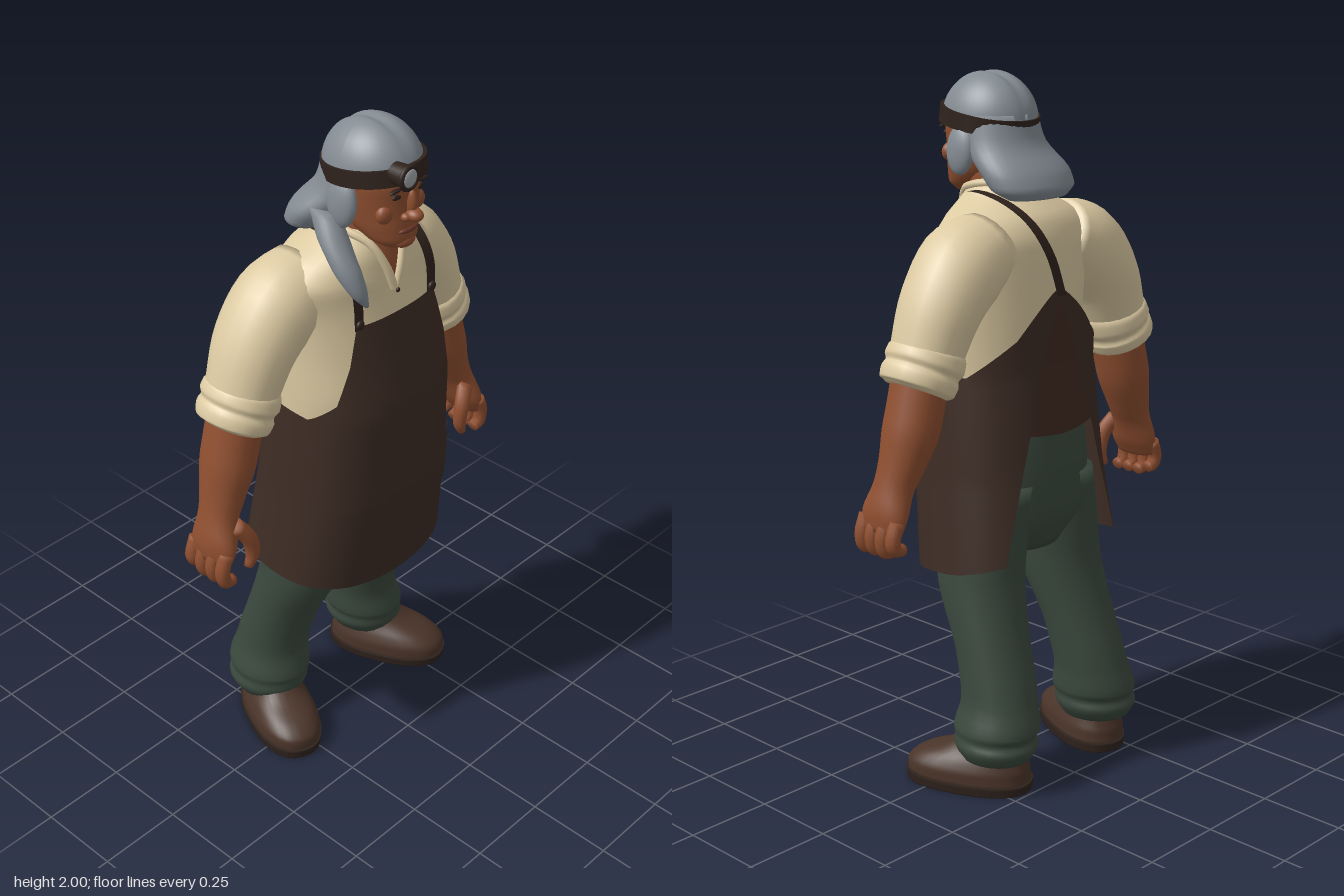
import * as THREE from 'three';

const mat = (name, color, side = THREE.FrontSide) => {
  const m = new THREE.MeshStandardMaterial({ color, side });
  m.name = name;
  return m;
};
const M = {
  skin: mat('skin', 0x8f4f30),
  lips: mat('lips', 0x70382a),
  shirt: mat('cream shirt', 0xdccaa2, THREE.DoubleSide),
  apron: mat('apron brown', 0x3d2c24, THREE.DoubleSide),
  back: mat('back panel brown', 0x402a20, THREE.DoubleSide),
  pants: mat('green trousers', 0x3a483d),
  shoe: mat('shoe brown', 0x4a3429),
  dark: mat('dark leather', 0x2f221c),
  hair: mat('grey hair', 0x838b92),
  lamp: mat('lamp glass', 0xa0a6a8),
};
const V = (x, y, z) => new THREE.Vector3(x, y, z);
const UP = V(0, 1, 0), Z = V(0, 0, 1);
const spow = (v, p) => Math.sign(v) * Math.abs(v) ** p;

function add(parent, name, geo, material) {
  const m = new THREE.Mesh(geo, material);
  m.name = name;
  parent.add(m);
  return m;
}

function grid(rows, cols, wrap, point) {
  const pos = [], idx = [], w = wrap ? cols : cols + 1;
  for (let i = 0; i <= rows; i++)
    for (let j = 0; j < w; j++) pos.push(...point(i, j).toArray());
  for (let i = 0; i < rows; i++)
    for (let j = 0; j < cols; j++) {
      const k = (j + 1) % w, a = i * w + j, b = i * w + k, c = a + w, d = b + w;
      idx.push(a, b, c, b, d, c);
    }
  const g = new THREE.BufferGeometry();
  g.setAttribute('position', new THREE.Float32BufferAttribute(pos, 3));
  g.setIndex(idx);
  g.computeVertexNormals();
  return g;
}

// Smooth closed body through sections [x, y, z, rx, rz]; flat keeps sections level
function loft(sections, { flat = false, p = 1, n = 24, step = 4 } = {}) {
  const path = new THREE.CatmullRomCurve3(sections.map(s => V(s[0], s[1], s[2])), false, 'centripetal');
  const size = new THREE.CatmullRomCurve3(sections.map(s => V(s[3], s[4], s[1] * 0.001)), false, 'centripetal');
  const N = (sections.length - 1) * step;
  const sign = Math.sign(sections.at(-1)[1] - sections[0][1]) || 1;
  return grid(N + 2, n, true, (i, j) => {
    const t = Math.min(Math.max(i - 1, 0), N) / N;
    const c = path.getPoint(t), r = size.getPoint(t), a = j / n * Math.PI * 2;
    if (i === 0 || i === N + 2) return c;
    const T = flat ? UP.clone().multiplyScalar(sign) : path.getTangent(t).setZ(0).normalize();
    const A = Z.clone().cross(T);
    return c.addScaledVector(A, spow(Math.cos(a), p) * r.x).addScaledVector(Z, spow(Math.sin(a), p) * r.y);
  });
}

function ball(parent, name, material, [x, y, z], [a, b, c], rz = 0) {
  const m = add(parent, name, new THREE.SphereGeometry(1, 20, 14), material);
  m.position.set(x, y, z);
  m.scale.set(a, b, c);
  m.rotation.z = rz;
  return m;
}

// Strip following a path, widened along x
function ribbon(points, w) {
  const c = new THREE.CatmullRomCurve3(points.map(q => V(...q)));
  return grid(32, 1, false, (i, j) => c.getPoint(i / 32).add(V((j - 0.5) * w, 0, 0)));
}

function lerpTable(table, v, k = 1) {
  let i = 1;
  while (i < table.length - 1 && v > table[i][0]) i++;
  const a = table[i - 1], b = table[i];
  return THREE.MathUtils.lerp(a[k], b[k], THREE.MathUtils.clamp((v - a[0]) / (b[0] - a[0]), 0, 1));
}

// Apron body: height, half width, front z, back z
const WRAP = [[0.6, 0.305, 0.2, -0.26], [0.9, 0.275, 0.238, -0.215], [1.2, 0.256, 0.25, -0.185], [1.47, 0.262, 0.19, -0.182]];
const TOP = [[0, 1.47], [30, 1.47], [40, 1.36], [55, 1.25], [80, 1.19], [110, 1.2], [150, 1.3], [180, 1.43]];
const HEM = [[0, 0.6], [90, 0.64], [135, 0.68], [155, 1.0], [180, 1.4]];
function wrapPoint(deg, y, out = 0) {
  const a = deg * Math.PI / 180;
  const rx = lerpTable(WRAP, y, 1), f = lerpTable(WRAP, y, 2), b = lerpTable(WRAP, y, 3);
  return V(spow(Math.sin(a), 0.8) * (rx + out), y, (f + b) / 2 + spow(Math.cos(a), 0.8) * ((f - b) / 2 + out));
}
function wrapPatch(d0, d1, top, hem, out) {
  const cols = Math.round((d1 - d0) / 2.5);
  return grid(20, cols, false, (i, j) => {
    const d = d0 + (d1 - d0) * j / cols, e = d > 180 ? 360 - d : Math.abs(d);
    return wrapPoint(d, THREE.MathUtils.lerp(hem(e), top(e), i / 20), out);
  });
}

function buildBody(g) {
  add(g, 'shirtTorso', loft([[0, 1.02, 0.01, 0.22, 0.17], [0, 1.2, 0.03, 0.235, 0.19], [0, 1.35, 0.015, 0.24, 0.178],
    [0, 1.48, 0.002, 0.25, 0.165], [0, 1.56, 0, 0.265, 0.158], [0, 1.62, 0.008, 0.21, 0.142],
    [0, 1.67, 0.03, 0.12, 0.108], [0, 1.7, 0.04, 0.088, 0.085]], { flat: true, n: 36 }), M.shirt);
  add(g, 'neck', loft([[0, 1.6, 0.04, 0.075, 0.075], [0, 1.78, 0.08, 0.075, 0.08]], { flat: true }), M.skin);

  // Open neckline with collar and buttons
  const front = [[1.53, 0.167], [1.58, 0.164], [1.62, 0.158], [1.67, 0.146], [1.7, 0.132]];
  add(g, 'openNeckline', grid(10, 6, false, (i, j) => {
    const t = i / 10, y = 1.54 + 0.15 * t, x = (j / 3 - 1) * (0.004 + 0.055 * t);
    return V(x, y, lerpTable(front, y) - x * x * 5);
  }), M.skin);
  for (const s of [-1, 1]) {
    const pts = [[0.002, 1.53, 0.166], [0.028, 1.6, 0.16], [0.06, 1.67, 0.128], [0.088, 1.7, 0.06], [0.05, 1.71, -0.03], [0, 1.71, -0.045]];
    add(g, 'collar', new THREE.TubeGeometry(new THREE.CatmullRomCurve3(pts.map(q => V(q[0] * s, q[1], q[2]))), 30, 0.012, 8), M.shirt);
  }
  for (const y of [1.515, 1.555]) ball(g, 'button', M.dark, [0.012, y, 0.168], [0.007, 0.007, 0.005]);

  // Apron with bib, back panel, pockets and straps
  const top = e => lerpTable(TOP, e), hem = e => lerpTable(HEM, e);
  add(g, 'apron', wrapPatch(-180, 180, top, hem, 0), M.apron);
  add(g, 'backPanel', wrapPatch(110, 250, top, e => 1.02 + (180 - e) * 0.0005, -0.008), M.back);
  for (const d of [-52, 14]) add(g, 'pocket', wrapPatch(d, d + 38, () => 1.0, () => 0.83, 0.005), M.apron);
  add(g, 'leftStrap', ribbon([[0.142, 1.46, 0.172], [0.142, 1.55, 0.165], [0.135, 1.62, 0.135], [0.125, 1.685, 0.05],
    [0.11, 1.675, -0.05], [0.08, 1.62, -0.138], [0.04, 1.53, -0.178], [0, 1.41, -0.188]], 0.034), M.dark);
  add(g, 'rightStrap', ribbon([[-0.142, 1.46, 0.172], [-0.142, 1.55, 0.165], [-0.135, 1.62, 0.135],
    [-0.125, 1.685, 0.05], [-0.1, 1.68, -0.04]], 0.034), M.dark);
  for (const s of [-1, 1]) ball(g, 'strapStud', M.dark, [0.142 * s, 1.475, 0.175], [0.014, 0.014, 0.008]);

  add(g, 'trouserSeat', loft([[0, 0.67, -0.04, 0.12, 0.09], [0, 0.78, -0.035, 0.225, 0.15],
    [0, 0.95, -0.015, 0.235, 0.168], [0, 1.08, 0, 0.225, 0.165]], { flat: true, n: 32 }), M.pants);
}

function buildArm(g, s) {
  const limb = (name, pts, m, n = 20) => add(g, name, loft(pts.map(q => [q[0] * s, ...q.slice(1)]), { n }), m);
  limb('sleeve', [[0.13, 1.55, -0.03, 0.1, 0.11], [0.235, 1.5, -0.035, 0.125, 0.125], [0.315, 1.415, -0.04, 0.112, 0.12],
    [0.365, 1.31, -0.04, 0.1, 0.107], [0.395, 1.23, -0.04, 0.09, 0.1]], M.shirt);
  limb('rolledCuff', [[0.364, 1.305, -0.04, 0.095, 0.1], [0.37, 1.29, -0.04, 0.103, 0.112], [0.382, 1.265, -0.04, 0.106, 0.116],
    [0.391, 1.247, -0.04, 0.098, 0.107], [0.4, 1.23, -0.04, 0.104, 0.113], [0.411, 1.205, -0.04, 0.1, 0.108], [0.416, 1.195, -0.04, 0.08, 0.09]], M.shirt);
  limb('forearm', [[0.395, 1.24, -0.04, 0.074, 0.083], [0.432, 1.1, -0.04, 0.074, 0.083], [0.466, 1.0, -0.035, 0.06, 0.068],
    [0.49, 0.94, -0.028, 0.05, 0.062], [0.515, 0.87, -0.02, 0.044, 0.078], [0.528, 0.82, -0.02, 0.028, 0.07]], M.skin);
  // Curled fingers and thumb
  for (let k = 0; k < 4; k++) {
    const z = 0.04 - 0.04 * k, d = k === 3 ? 0.015 : 0;
    limb('finger', [[0.528, 0.86, z, 0.021, 0.022], [0.545, 0.81, z, 0.021, 0.022],
      [0.537, 0.772 + d, z, 0.02, 0.021], [0.51, 0.765 + d, z, 0.017, 0.019]], M.skin, 10);
  }
  limb('thumb', [[0.485, 0.93, 0.025, 0.025, 0.026], [0.45, 0.88, 0.045, 0.024, 0.024],
    [0.438, 0.82, 0.048, 0.02, 0.021], [0.452, 0.78, 0.045, 0.013, 0.014]], M.skin, 10);
}

function buildLeg(g, s) {
  add(g, 'trouserLeg', loft([[0.12, 0.88, -0.03, 0.105, 0.145], [0.15, 0.7, -0.025, 0.118, 0.138], [0.163, 0.58, -0.035, 0.118, 0.13],
    [0.182, 0.4, -0.1, 0.108, 0.108], [0.195, 0.27, -0.135, 0.106, 0.112], [0.208, 0.19, -0.138, 0.116, 0.13],
    [0.211, 0.165, -0.135, 0.11, 0.122], [0.213, 0.14, -0.14, 0.115, 0.126], [0.215, 0.1, -0.14, 0.095, 0.105]]
    .map(q => [q[0] * s, ...q.slice(1)]), { flat: true }), M.pants);
  const shoe = new THREE.Group();
  shoe.name = 'shoe';
  shoe.position.set(0.243 * s, 0, -0.06);
  shoe.rotation.y = 0.4 * s;
  g.add(shoe);
  const o = { flat: true, p: 0.85, n: 28 };
  add(shoe, 'sole', loft([[0, 0, 0, 0.099, 0.188], [0, 0.03, 0, 0.102, 0.19]], o), M.dark);
  add(shoe, 'upper', loft([[0, 0.025, 0, 0.098, 0.185], [0, 0.06, 0, 0.097, 0.182], [0, 0.09, -0.015, 0.086, 0.158],
    [0, 0.12, -0.05, 0.07, 0.115], [0, 0.16, -0.075, 0.06, 0.08]], o), M.shoe);
  for (const z of [0.045, 0.075]) ball(shoe, 'lace', M.dark, [0, 0.112 - (z - 0.045) * 0.4, z], [0.04, 0.008, 0.008]);
}

function buildHead(g) {
  add(g, 'face', loft([[0, 1.668, 0.165, 0.04, 0.035], [0, 1.69, 0.15, 0.07, 0.068], [0, 1.735, 0.115, 0.092, 0.104],
    [0, 1.8, 0.1, 0.103, 0.118], [0, 1.85, 0.1, 0.106, 0.122], [0, 1.92, 0.095, 0.1, 0.12]], { flat: true, n: 32 }), M.skin);
  ball(g, 'noseBridge', M.skin, [0, 1.8, 0.217], [0.014, 0.04, 0.02]);
  ball(g, 'noseTip', M.skin, [0, 1.768, 0.23], [0.022, 0.018, 0.027]);
  ball(g, 'lips', M.lips, [0, 1.722, 0.211], [0.036, 0.01, 0.013]);
  ball(g, 'chin', M.skin, [0, 1.686, 0.197], [0.036, 0.022, 0.024]);
  for (const s of [-1, 1]) {
    ball(g, 'nostril', M.skin, [0.02 * s, 1.764, 0.218], [0.013, 0.012, 0.015]);
    ball(g, 'cheek', M.skin, [0.058 * s, 1.775, 0.182], [0.03, 0.028, 0.02]);
    ball(g, 'eye', M.dark, [0.042 * s, 1.826, 0.208], [0.018, 0.008, 0.006]);
    ball(g, 'eyebrow', M.dark, [0.046 * s, 1.847, 0.21], [0.028, 0.006, 0.008], -0.12 * s);
    ball(g, 'sideLock', M.hair, [0.116 * s, 1.795, 0.085], [0.026, 0.07, 0.048], 0.1 * s);
  }

  // Swept hair crown with a centre parting
  const crown = new THREE.SphereGeometry(1, 40, 20, 0, Math.PI * 2, 0, Math.PI * 0.52).scale(0.124, 0.137, 0.143);
  const p = crown.attributes.position;
  for (let i = 0; i < p.count; i++) p.setY(i, p.getY(i) - 0.009 * Math.exp(-((p.getX(i) / 0.016) ** 2)));
  crown.computeVertexNormals();
  const c = add(g, 'hairCrown', crown, M.hair);
  c.position.set(-0.003, 1.866, 0.088);
  c.rotation.x = -0.12;
  add(g, 'backHair', loft([[0, 1.89, 0.055, 0.112, 0.105], [-0.003, 1.81, 0.03, 0.126, 0.1], [-0.015, 1.74, -0.03, 0.148, 0.095],
    [-0.018, 1.695, -0.06, 0.142, 0.085], [-0.02, 1.668, -0.075, 0.105, 0.055]], { flat: true, n: 32 }), M.hair);
  add(g, 'hairTail', loft([[-0.125, 1.76, 0.03, 0.035, 0.045], [-0.14, 1.69, 0.08, 0.043, 0.045], [-0.148, 1.63, 0.13, 0.037, 0.038],
    [-0.138, 1.57, 0.165, 0.024, 0.022], [-0.12, 1.525, 0.178, 0.006, 0.006]]), M.hair);

  // Headband and lamp
  const band = add(g, 'headband', new THREE.CylinderGeometry(1, 1, 0.046, 48), M.dark);
  band.scale.set(0.13, 1, 0.147);
  band.position.set(-0.002, 1.872, 0.09);
  band.rotation.x = -0.14;
  const lamp = new THREE.Group();
  lamp.name = 'headLamp';
  lamp.position.set(-0.055, 1.903, 0.235);
  g.add(lamp);
  add(lamp, 'lampHousing', new THREE.CylinderGeometry(0.032, 0.028, 0.05, 24).rotateX(Math.PI / 2), M.dark);
  add(lamp, 'lampRim', new THREE.TorusGeometry(0.03, 0.007, 8, 24), M.dark).position.z = 0.024;
  ball(lamp, 'lampLens', M.lamp, [0, 0, 0.025], [0.026, 0.026, 0.009]);
}

export function createModel() {
  const g = new THREE.Group();
  g.name = 'apronedWorker';
  buildBody(g);
  for (const [s, side] of [[1, 'left'], [-1, 'right']]) {
    const arm = new THREE.Group(), leg = new THREE.Group();
    arm.name = side + 'Arm';
    leg.name = side + 'Leg';
    buildArm(arm, s);
    buildLeg(leg, s);
    g.add(arm, leg);
  }
  const head = new THREE.Group();
  head.name = 'head';
  buildHead(head);
  g.add(head);
  return g;
}
